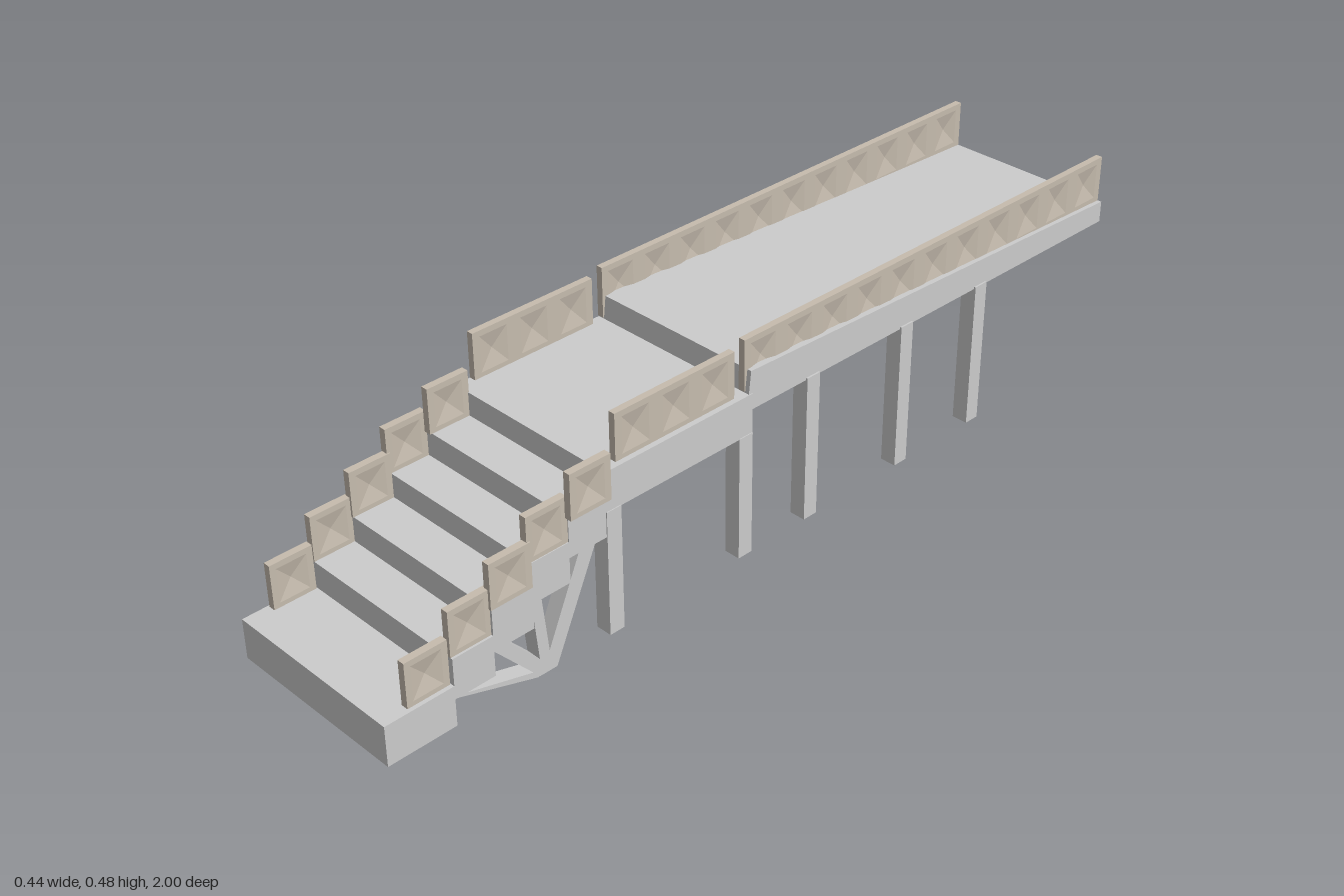
import * as THREE from 'three';

const grey = new THREE.MeshStandardMaterial({ color: 0xcccccc, flatShading: true });
const stone = new THREE.MeshStandardMaterial({ color: 0xc6bcae, flatShading: true, side: THREE.DoubleSide });

// Extrude a side profile given in (z, y) across the width from x0 to x1
function sideExtrude(shape, x0, x1) {
  const w = x1 - x0;
  const g = new THREE.ExtrudeGeometry(shape, { depth: w, bevelEnabled: false });
  g.translate(0, 0, -w / 2);
  g.rotateY(-Math.PI / 2);
  g.translate((x0 + x1) / 2, 0, 0);
  return g;
}

function polygon(points) {
  return new THREE.Shape(points.map(([z, y]) => new THREE.Vector2(z, y)));
}

function add(parent, name, geometry, material = grey) {
  const mesh = new THREE.Mesh(geometry, material);
  mesh.name = name;
  parent.add(mesh);
  return mesh;
}

function box(parent, name, x0, x1, y0, y1, z0, z1) {
  const g = new THREE.BoxGeometry(x1 - x0, y1 - y0, z1 - z0);
  g.translate((x0 + x1) / 2, (y0 + y1) / 2, (z0 + z1) / 2);
  return add(parent, name, g);
}

// Railing: a slab with square windows, each filled by a pinched four-sided recess
function railing(name, x0, x1, y0, y1, z0, z1, count) {
  const group = new THREE.Group();
  group.name = name;
  const cell = (z1 - z0) / count, half = 0.034;
  const top = y1 - 0.013, bottom = Math.max(y0 + 0.01, top - 0.08);
  const shape = polygon([[z0, y0], [z1, y0], [z1, y1], [z0, y1]]);
  const centres = [];
  for (let i = 0; i < count; i++) {
    const c = z0 + cell * (i + 0.5);
    centres.push(c);
    shape.holes.push(new THREE.Path([
      [c - half, bottom], [c - half, top], [c + half, top], [c + half, bottom],
    ].map(([z, y]) => new THREE.Vector2(z, y))));
  }
  add(group, 'railFrame', sideExtrude(shape, x0, x1), stone);

  const depth = (x1 - x0) / 2;
  for (const c of centres) {
    for (const side of [-1, 1]) {
      const g = new THREE.ConeGeometry(half * Math.SQRT2, depth, 4, 1, true);
      g.rotateY(Math.PI / 4);
      g.rotateZ(side * Math.PI / 2);
      g.scale(1, (top - bottom) / (2 * half), 1);
      g.translate((x0 + x1) / 2 + side * depth / 2, (top + bottom) / 2, c);
      add(group, 'windowRecess', g, stone);
    }
  }
  return group;
}

export function createModel() {
  const model = new THREE.Group();
  model.name = 'raisedWalkway';
  const L = -0.218, R = 0.205;

  // Steps: [z back, z front, y bottom, y top, right rail x, left rail x, rail z back, rail z front]
  const steps = [
    [0.845, 1.0, 0, 0.09, -0.214, 0.18, 0.847, 0.942],
    [0.752, 0.845, 0.06, 0.15, -0.214, 0.184, 0.75, 0.845],
    [0.658, 0.752, 0.115, 0.207, -0.209, 0.19, 0.657, 0.754],
    [0.568, 0.658, 0.17, 0.26, -0.211, 0.187, 0.568, 0.664],
    [0.475, 0.568, 0.225, 0.315, -0.195, 0.203, 0.475, 0.573],
  ];
  for (const [z0, z1, y0, y1, xr, xl, rz0, rz1] of steps) {
    box(model, 'step', L, R, y0, y1, z0, z1);
    for (const x of [xr, xl]) {
      model.add(railing('stepRailing', x, x + 0.016, y1, y1 + 0.1, rz0, rz1, 1));
    }
  }

  // Landing and the long deck, whose top falls gently to the back
  box(model, 'landing', L, R, 0.278, 0.367, 0.097, 0.477);
  add(model, 'deck', sideExtrude(
    polygon([[-1, 0.33], [0.11, 0.33], [0.1, 0.417], [-1, 0.378]]), L, 0.203));
  for (const x of [L, 0.178]) {
    model.add(railing('landingRailing', x, x + 0.015, 0.367, 0.47, 0.135, 0.44, 3));
    model.add(railing('deckRailing', x, x + 0.015, 0.37, 0.483, -1, 0.108, 11));
  }

  // Posts
  for (const [z, top] of [[0.459, 0.28], [0.116, 0.28], [-0.072, 0.335], [-0.35, 0.335], [-0.585, 0.335]]) {
    box(model, 'post', L + 0.002, L + 0.038, 0, top, z - 0.018, z + 0.018);
    box(model, 'post', 0.17, 0.207, 0, top, z - 0.018, z + 0.018);
  }

  // Fan of struts under the flight on each side
  const struts = [
    [[0.655, 0], [0.625, 0.006], [0.825, 0.062], [0.845, 0.062]],
    [[0.65, 0], [0.615, 0.002], [0.72, 0.118], [0.755, 0.118]],
    [[0.645, 0.002], [0.62, 0.002], [0.638, 0.173], [0.662, 0.173]],
    [[0.645, 0], [0.608, 0], [0.505, 0.228], [0.545, 0.228]],
  ];
  for (const [x0, x1] of [[-0.22, -0.185], [0.17, 0.205]]) {
    for (const s of struts) add(model, 'strut', sideExtrude(polygon(s), x0, x1));
  }
  return model;
}
